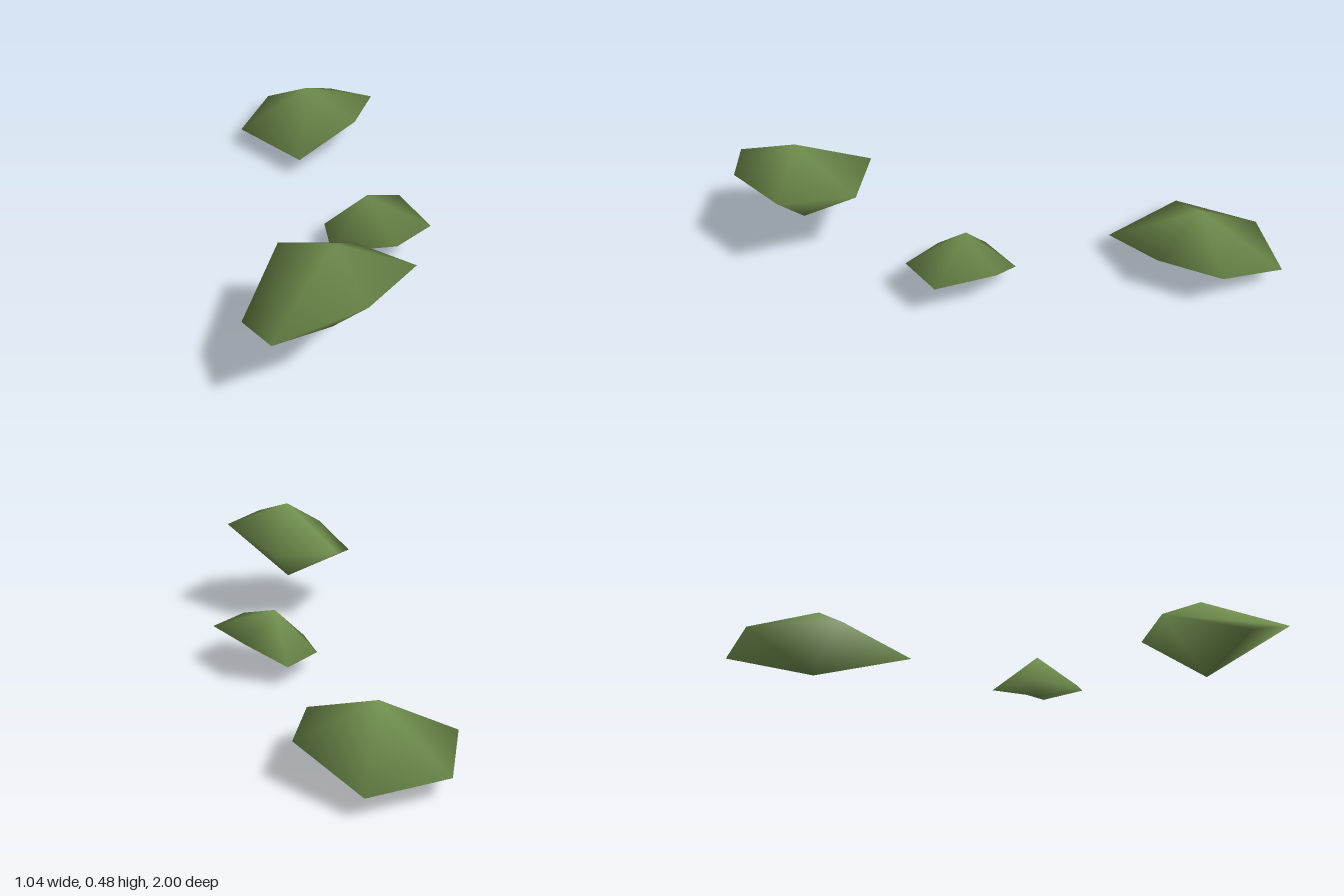
import * as THREE from 'three';

const leafGreen = new THREE.MeshStandardMaterial({ color: 0x73914f, side: THREE.DoubleSide });
leafGreen.name = 'leafGreen';

// Faceted pad: a rim loop closed by an upper and a lower peak, smooth normals.
// flatCorner: rim corner that the upper surface cuts across with one triangle.
function makePad(name, top, bottom, rim, flatCorner = -1) {
  const n = rim.length;
  const index = [];
  for (let i = 0; i < n; i++) {
    const j = (i + 1) % n;
    index.push(n + 1, i, j);
    if (i === flatCorner) continue;
    if (j === flatCorner) {
      const k = (j + 1) % n;
      index.push(n, k, i, i, k, j);
    } else index.push(n, j, i);
  }
  const geometry = new THREE.BufferGeometry();
  geometry.setAttribute('position', new THREE.Float32BufferAttribute([...rim, top, bottom].flat(), 3));
  geometry.setIndex(index);
  geometry.computeVertexNormals();
  const mesh = new THREE.Mesh(geometry, leafGreen);
  mesh.name = name;
  return mesh;
}

export function createModel() {
  const model = new THREE.Group();
  model.name = 'leafPads';

  // Low pad at the back
  model.add(makePad('backPad', [-0.28, 0.24, -0.68], [-0.28, 0, -0.68], [
    [-0.28, 0.08, -1], [-0.04, 0.16, -0.84], [-0.04, 0.16, -0.6],
    [-0.2, 0.08, -0.36], [-0.52, 0.08, -0.52], [-0.52, 0.08, -0.84],
  ]));

  // Small flat-bottomed pad in the middle
  model.add(makePad('middlePad', [0.2, 0.24, 0.04], [0.2, 0.08, 0.04], [
    [0.12, 0.08, -0.12], [0.28, 0.16, -0.12], [0.44, 0.16, 0.04],
    [0.36, 0.16, 0.2], [0.12, 0.08, 0.2], [0.04, 0.08, 0.04],
  ]));

  // High pad at the front
  model.add(makePad('frontPad', [0.28, 0.48, 0.68], [0.28, 0.16, 0.68], [
    [0.04, 0.32, 0.52], [0.28, 0.32, 0.44], [0.52, 0.4, 0.6],
    [0.44, 0.4, 0.84], [0.2, 0.32, 1], [0.04, 0.24, 0.84],
  ], 5));

  return model;
}
